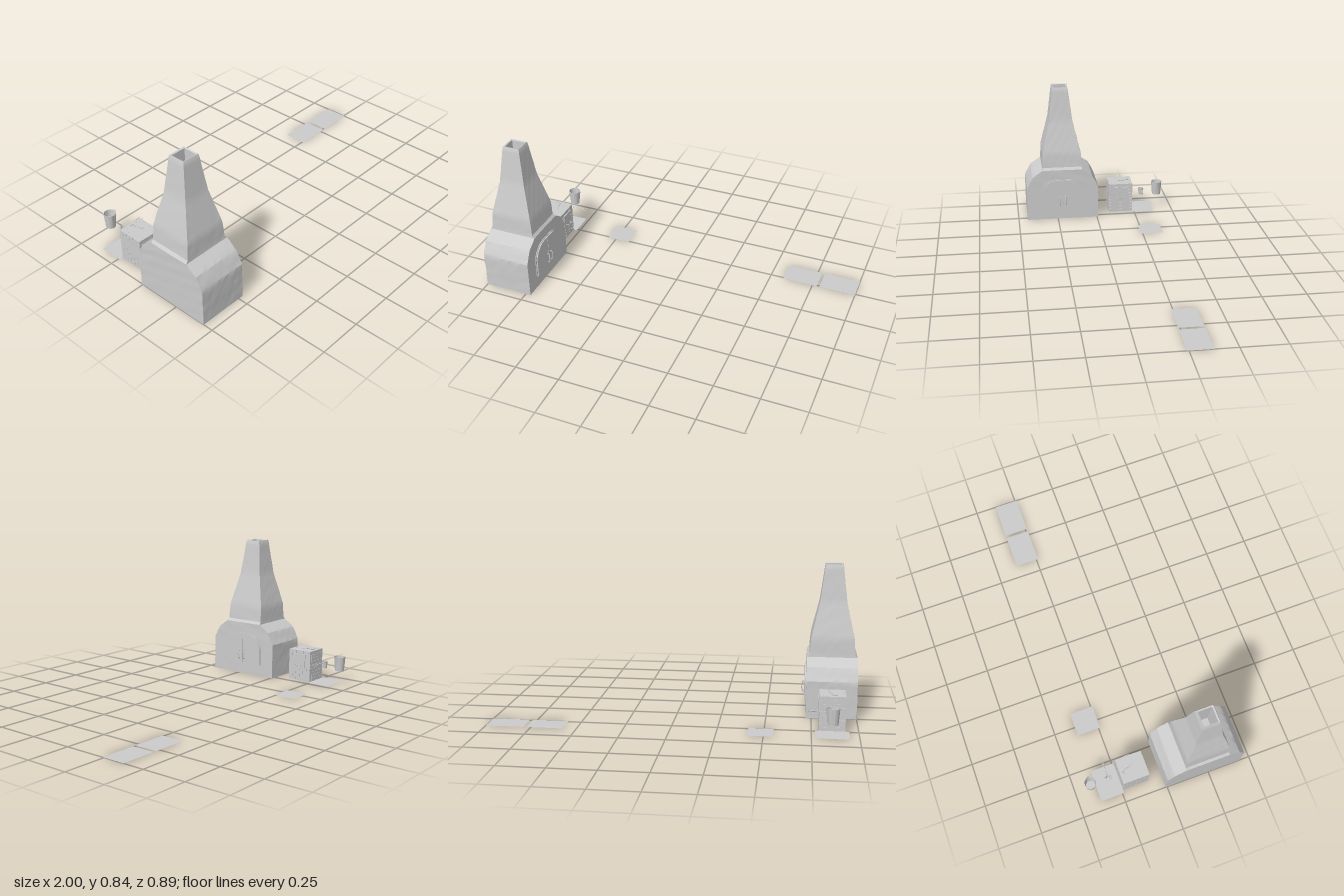
import * as THREE from 'three';
import { mergeGeometries, toCreasedNormals } from 'three/addons/utils/BufferGeometryUtils.js';

const mat = new THREE.MeshStandardMaterial({ color: 0xcccccc, side: THREE.DoubleSide });

function add(parent, name, geo, x = 0, y = 0, z = 0) {
  const m = new THREE.Mesh(geo, mat);
  m.name = name;
  m.position.set(x, y, z);
  parent.add(m);
  return m;
}

function box(w, h, d, x, y, z) {
  return new THREE.BoxGeometry(w, h, d).translate(x, y, z);
}

function tube(points, r, seg = 20) {
  const curve = new THREE.CatmullRomCurve3(points.map(p => new THREE.Vector3(...p)), false, 'centripetal');
  return new THREE.TubeGeometry(curve, seg, r, 8);
}

// Loft of rectangular sections [y, halfX, halfZ, rows to next], with gently uneven plaster
function plasterLoft(sections, n) {
  const rings = [];
  sections.forEach((s, k) => {
    const next = sections[k + 1], rows = next ? s[3] : 1;
    for (let j = 0; j < rows; j++) {
      rings.push([0, 1, 2].map(i => next ? THREE.MathUtils.lerp(s[i], next[i], j / rows) : s[i]));
    }
  });
  const corners = [[1, 1], [1, -1], [-1, -1], [-1, 1], [1, 1]];
  const pos = [], idx = [], count = 4 * n;
  for (const [y, hx, hz] of rings) {
    for (let i = 0; i < count; i++) {
      const c = Math.floor(i / n), t = (i % n) / n;
      const x = hx * THREE.MathUtils.lerp(corners[c][0], corners[c + 1][0], t);
      const z = hz * THREE.MathUtils.lerp(corners[c][1], corners[c + 1][1], t);
      const bump = Math.sin(61 * y + 47 * z + 3 * Math.sin(31 * x)) * Math.sin(53 * x - 71 * z + 23 * y);
      const k = y > 0.01 ? 1 + 0.008 * bump : 1;
      pos.push(x * k, y, z * k);
    }
  }
  for (let j = 0; j < rings.length - 1; j++) {
    for (let i = 0; i < count; i++) {
      const a = j * count + i, b = j * count + (i + 1) % count;
      idx.push(a, b, b + count, a, b + count, a + count);
    }
  }
  const g = new THREE.BufferGeometry();
  g.setAttribute('position', new THREE.Float32BufferAttribute(pos, 3));
  g.setIndex(idx);
  return toCreasedNormals(g, 0.45);
}

// Half arch outline; side = 1 or -1
function archHalf(side, w, y0, y1, gap) {
  const s = new THREE.Shape(), flat = 0.04, spring = 0.165;
  s.moveTo(side * gap, y0);
  s.lineTo(side * w, y0);
  for (let i = 0; i <= 14; i++) {
    const a = i / 14 * Math.PI / 2;
    s.lineTo(side * (flat + (w - flat) * Math.cos(a)), spring + (y1 - spring) * Math.sin(a));
  }
  s.lineTo(side * gap, y1);
  return s;
}

// Extrude a side outline (horizontal = -z) along +x
function extrudeX(shape, depth) {
  return new THREE.ExtrudeGeometry(shape, { depth, bevelEnabled: false }).rotateY(Math.PI / 2);
}

function bigOven() {
  const g = new THREE.Group();
  g.name = 'plasterOven';
  g.position.set(-0.86, 0, 0.2175);
  add(g, 'ovenBodyAndChimney', plasterLoft([
    [0, 0, 0, 1], [0, 0.14, 0.2255, 8], [0.21, 0.14, 0.2255, 4], [0.255, 0.14, 0.203, 2],
    [0.283, 0.14, 0.188, 3], [0.327, 0.14, 0.1245, 1], [0.342, 0.127, 0.123, 4],
    [0.43, 0.12, 0.12, 8], [0.63, 0.075, 0.074, 8], [0.832, 0.05, 0.049, 1], [0.839, 0.047, 0.046, 1],
    [0.836, 0.04, 0.038, 4], [0.6, 0.04, 0.038, 1], [0.6, 0, 0, 1],
  ], 12));

  // Arched double door
  for (const s of [1, -1]) {
    const frame = archHalf(s, 0.139, 0.068, 0.266, 0);
    add(g, 'doorFrame', extrudeX(frame, 0.018), 0.126);
    add(g, 'doorLeaf', extrudeX(archHalf(s, 0.131, 0.073, 0.26, 0.0012), 0.022), 0.128);
    add(g, 'doorHandle', tube([
      [0.148, 0.096, 0], [0.16, 0.1, 0], [0.164, 0.112, 0], [0.164, 0.14, 0], [0.16, 0.152, 0], [0.148, 0.156, 0],
    ], 0.0026), 0, 0, s * 0.0175);
  }
  return g;
}

function brickFurnace() {
  const g = new THREE.Group();
  g.name = 'brickFurnace';
  g.position.set(-0.86, 0, -0.1635);
  const hx = 0.07, hz = 0.0765, t = 0.018, rows = 9, h = 0.19 / rows, gap = 0.0012;

  // Running-bond bricks on four walls
  const bricks = [];
  for (let r = 0; r < rows; r++) {
    const y = (r + 0.5) * h;
    const course = (half, place) => {
      const len = 0.051;
      for (let a = -half - (r % 2) * len / 2; a < half - 0.001; a += len) {
        const lo = Math.max(a, -half), hi = Math.min(a + len, half);
        if (hi - lo > 0.004) bricks.push(place((lo + hi) / 2, hi - lo - gap));
      }
    };
    for (const s of [1, -1]) {
      course(hz, (c, l) => box(t, h - gap, l, s * (hx - t / 2), y, c));
      course(hx - t, (c, l) => box(l, h - gap, t, c, y, s * (hz - t / 2)));
    }
  }
  add(g, 'bricks', mergeGeometries(bricks));

  // Recessed mortar and roof, open underneath
  const m = [box(2 * hx - 0.004, 0.012, 2 * hz - 0.004, 0, 0.183, 0)];
  for (const s of [1, -1]) {
    m.push(box(0.014, 0.186, 2 * hz - 0.004, s * (hx - 0.009), 0.093, 0));
    m.push(box(2 * hx - 0.004, 0.186, 0.014, 0, 0.093, s * (hz - 0.009)));
  }
  add(g, 'mortar', mergeGeometries(m));

  add(g, 'furnaceDoor', box(0.008, 0.082, 0.083, hx + 0.001, 0.126, 0));
  add(g, 'furnaceDoorHandle', tube([
    [0.072, 0.1, 0.023], [0.084, 0.1, 0.021], [0.089, 0.1, 0.012], [0.089, 0.1, -0.012], [0.084, 0.1, -0.021], [0.072, 0.1, -0.023],
  ], 0.002));

  // Poker lying on the roof
  add(g, 'poker', tube([
    [0.02, 0.194, 0.012], [0.008, 0.194, -0.015], [0, 0.194, -0.05], [-0.014, 0.195, -0.057], [-0.02, 0.195, -0.052],
  ], 0.0032));
  return g;
}

function lathe(points, seg = 28) {
  return toCreasedNormals(new THREE.LatheGeometry(points.map(p => new THREE.Vector2(...p)), seg), 0.6);
}

function crucibleWithTongs() {
  const g = new THREE.Group();
  g.name = 'crucibleWithTongs';
  g.position.set(-0.858, 0, -0.304);
  add(g, 'crucible', lathe([[0, 0.088], [0.0125, 0.088], [0.0165, 0.131], [0.0135, 0.131], [0.0105, 0.092], [0, 0.092]]));
  add(g, 'tongRing', new THREE.TorusGeometry(0.0172, 0.0017, 8, 28).rotateX(Math.PI / 2), 0, 0.125);
  for (const s of [1, -1]) {
    add(g, 'tongArm', tube([[0.016, 0.125, s * 0.005], [0.05, 0.125, s * 0.001], [0.128, 0.125, s * 0.009]], 0.0017));
  }
  return g;
}

// Open pail with a small pouring lip
function pail() {
  const geo = new THREE.LatheGeometry([[0, 0.088], [0.027, 0.088], [0.0305, 0.13], [0.034, 0.174],
    [0.0315, 0.174], [0.028, 0.13], [0.025, 0.091], [0, 0.091]].map(p => new THREE.Vector2(...p)), 48);
  const p = geo.attributes.position;
  for (let i = 0; i < p.count; i++) {
    const angle = Math.atan2(p.getZ(i), p.getX(i));
    if (p.getY(i) > 0.16) p.setX(i, p.getX(i) + 0.007 * Math.exp(-angle * angle * 18));
  }
  return toCreasedNormals(geo, 0.6);
}

export function createModel() {
  const model = new THREE.Group();
  model.name = 'kilnYard';
  model.add(bigOven(), brickFurnace(), crucibleWithTongs());
  add(model, 'pail', pail(), -0.858, 0, -0.408);

  // Flat ground panels
  for (const [x0, x1] of [[-0.95, -0.77], [-0.55, -0.415], [0.575, 0.775], [0.792, 1]]) {
    add(model, 'groundPanel', new THREE.PlaneGeometry(x1 - x0, 0.137).rotateX(-Math.PI / 2), (x0 + x1) / 2, 0.0005, -0.3085);
  }
  return model;
}
